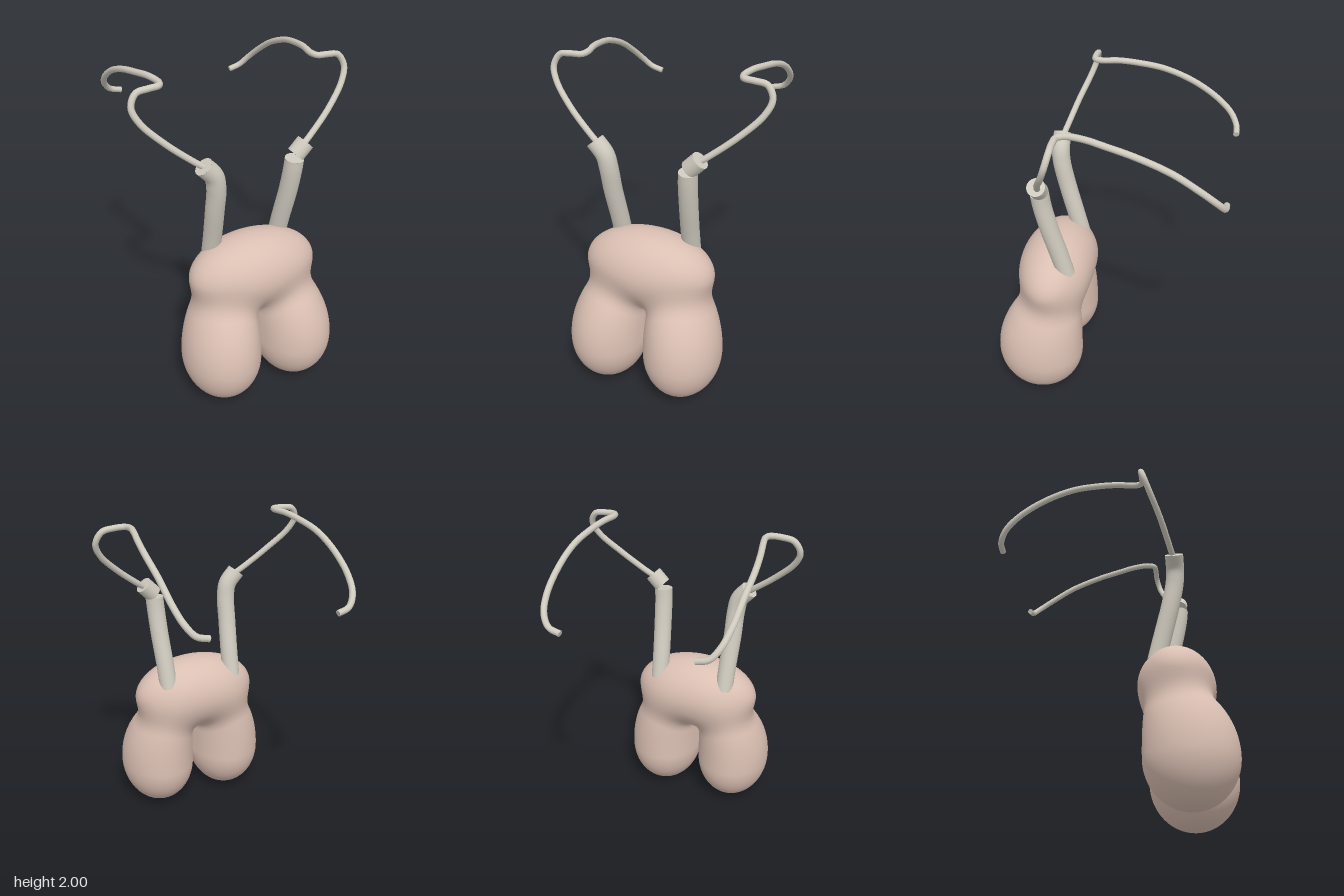
import * as THREE from 'three';

const skin = new THREE.MeshStandardMaterial({ color: 0xdabfb2 });
skin.name = 'pinkTissue';
const duct = new THREE.MeshStandardMaterial({ color: 0xcfcabe });
duct.name = 'paleDuct';

// Rounded union of two distance-like values
function blend(a, b, k) {
  const h = Math.max(k - Math.abs(a - b), 0) / k;
  return Math.min(a, b) - h * h * k / 4;
}

// Egg-shaped lobe, tapering and leaning back towards its top
function lobeField(x, y, z) {
  const t = y - 0.3, up = Math.max(t, 0);
  const dx = (x - 0.245 + 0.33 * up * up) / 0.235;
  const dy = t / (t > 0 ? 0.5 : 0.295);
  const dz = (z - 0.42 + 0.45 * up * up) / 0.27;
  return (Math.hypot(dx, dy, dz) - 1) * 0.24;
}

// Two lobes joined under a wide oval crown
function bodyField(x, y, z) {
  const crown = (Math.hypot(x / 0.4, (y - 0.8) / 0.232, (z - 0.345) / 0.235) - 1) * 0.235;
  const lobes = blend(lobeField(x, y, z), lobeField(-x, y, z), 0.04);
  return blend(crown, lobes, 0.09);
}

// One half of the body: a sphere pushed out from its centre onto the surface
function bodyHalf(side) {
  const geo = new THREE.SphereGeometry(1, 112, 96);
  const pos = geo.attributes.position, nor = geo.attributes.normal;
  const centre = new THREE.Vector3(0.2 * side, 0.5, 0.38);
  const d = new THREE.Vector3(), p = new THREE.Vector3(), n = new THREE.Vector3();
  const e = 0.002;
  const outside = () => p.x * side < -0.012 || bodyField(p.x, p.y, p.z) > 0;
  for (let i = 0; i < pos.count; i++) {
    d.fromBufferAttribute(pos, i).normalize();
    let hi = 0.02;
    while (hi < 1 && !outside(p.copy(centre).addScaledVector(d, hi))) hi += 0.01;
    let lo = hi - 0.01;
    for (let j = 0; j < 14; j++) {
      const mid = (lo + hi) / 2;
      p.copy(centre).addScaledVector(d, mid);
      if (outside()) hi = mid; else lo = mid;
    }
    p.copy(centre).addScaledVector(d, lo);
    n.set(
      bodyField(p.x + e, p.y, p.z) - bodyField(p.x - e, p.y, p.z),
      bodyField(p.x, p.y + e, p.z) - bodyField(p.x, p.y - e, p.z),
      bodyField(p.x, p.y, p.z + e) - bodyField(p.x, p.y, p.z - e)
    ).normalize();
    pos.setXYZ(i, p.x, p.y, p.z);
    nor.setXYZ(i, n.x, n.y, n.z);
  }
  return new THREE.Mesh(geo, skin);
}

// Round tube with flat ends through a list of points
function tube(name, points, radius, segments, sides) {
  const group = new THREE.Group();
  group.name = name;
  const curve = new THREE.CatmullRomCurve3(points.map(p => new THREE.Vector3(...p)));
  group.add(new THREE.Mesh(new THREE.TubeGeometry(curve, segments, radius, sides), duct));
  for (const t of [0, 1]) {
    const cap = new THREE.Mesh(new THREE.CircleGeometry(radius, sides), duct);
    const out = curve.getTangent(t).multiplyScalar(t ? 1 : -1);
    cap.position.copy(curve.getPoint(t));
    cap.quaternion.setFromUnitVectors(new THREE.Vector3(0, 0, 1), out);
    group.add(cap);
  }
  return group;
}

// Thin duct path on the left side
const thinPath = [
  [0.29, 1.535, 0.365], [0.36, 1.585, 0.345], [0.5, 1.7, 0.3], [0.615, 1.82, 0.245],
  [0.645, 1.9, 0.215], [0.61, 1.965, 0.198], [0.54, 1.978, 0.198], [0.478, 1.98, 0.19],
  [0.462, 1.982, 0.15], [0.478, 1.983, 0.05], [0.5, 1.968, -0.06], [0.522, 1.935, -0.22],
  [0.526, 1.865, -0.4], [0.52, 1.77, -0.55], [0.495, 1.695, -0.635],
  [0.45, 1.64, -0.672], [0.38, 1.618, -0.677]
];

export function createModel() {
  const model = new THREE.Group();
  model.name = 'lobedOrganWithDucts';

  for (const side of [1, -1]) {
    const half = bodyHalf(side);
    half.name = side > 0 ? 'leftLobe' : 'rightLobe';
    model.add(half);
    model.add(tube(side > 0 ? 'leftThinDuct' : 'rightThinDuct',
      thinPath.map(([x, y, z]) => [x * side, y, z]), 0.018, 120, 12));
  }

  // Left wide duct: straight, with a separate tilted collar at the top
  model.add(tube('leftWideDuct',
    [[0.222, 0.9, 0.24], [0.226, 1.05, 0.278], [0.236, 1.25, 0.33], [0.242, 1.4, 0.36], [0.246, 1.475, 0.368]],
    0.055, 32, 24));
  model.add(tube('leftCollar', [[0.252, 1.495, 0.366], [0.315, 1.56, 0.366]], 0.053, 2, 24));

  // Right wide duct: bends outward in one piece
  model.add(tube('rightWideDuct',
    [[-0.222, 0.9, 0.24], [-0.226, 1.05, 0.278], [-0.236, 1.25, 0.33], [-0.241, 1.4, 0.36],
      [-0.258, 1.485, 0.367], [-0.318, 1.558, 0.366]],
    0.055, 48, 24));

  return model;
}
